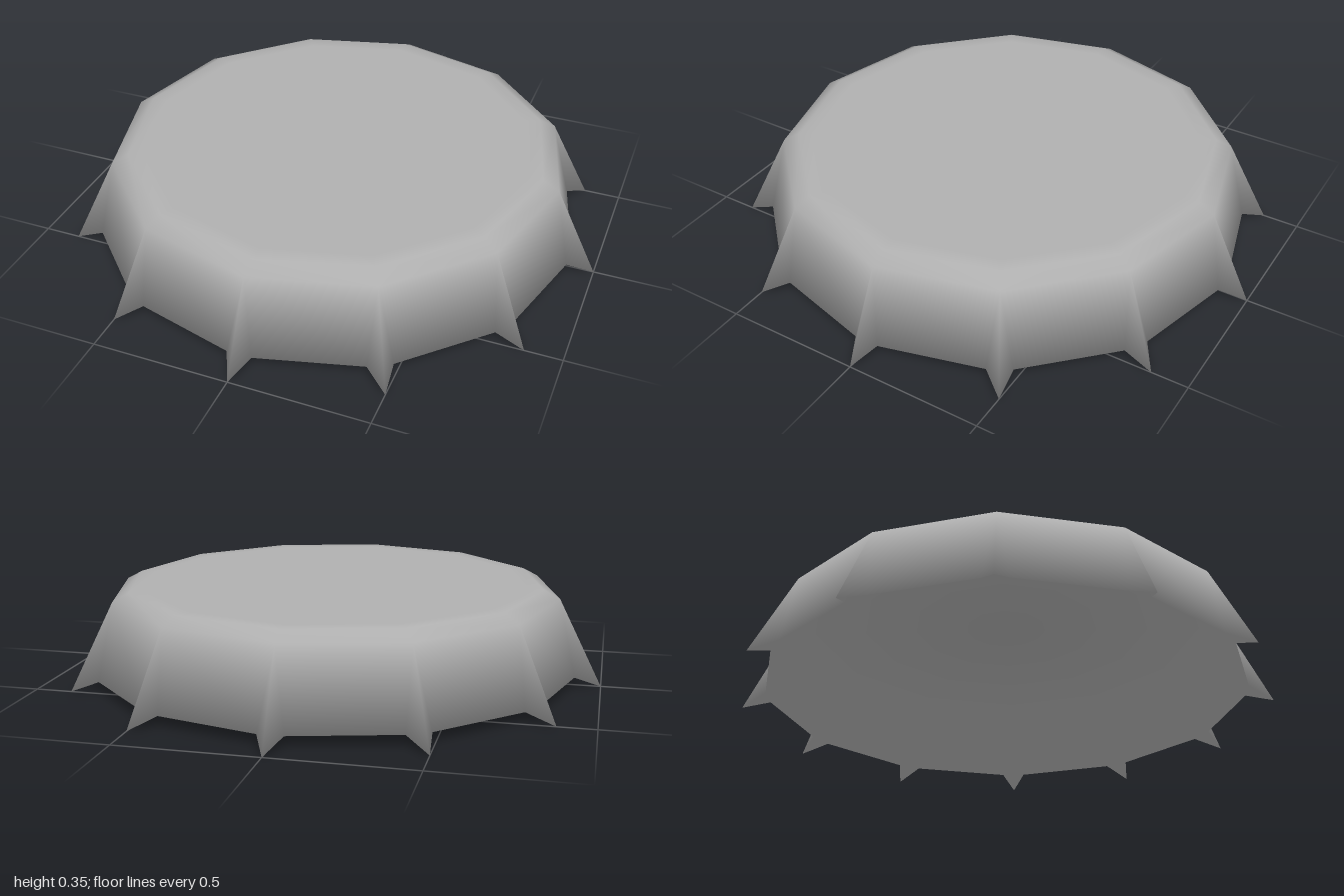
import * as THREE from 'three';

const SIDES = 12;
const STEP = (Math.PI * 2) / SIDES;
const HEM_OFFSET = 0.05; // angle from a spike tip to the hem corners beside it

const material = new THREE.MeshStandardMaterial({ color: 0xb0b0b0 });

// Profile points: radius, height, and the outward and upward parts of the smooth normal
const TOP = [[0, 0.352, 0, 1], [0.72, 0.352, 0, 1], [0.78, 0.352, 0.28, 0.96], [0.84, 0.32, 0.8, 0.6]];
const CEILING = [[0, 0.305, 0, -1], [0.82, 0.305, -0.6, -0.8]];
const HEM = [0.906, 0.04, 0.6, -0.8];
const TIP = [1, 0, 0.6, -0.8];

// Vertex at an angle measured from the front (+z) towards +x
function vertex(angle, [radius, y, out, up]) {
  const s = Math.sin(angle);
  const c = Math.cos(angle);
  return { position: [s * radius, y, c * radius], normal: [s * out, up, c * out] };
}

// One face of the cap: a disc profile, flared panels and folded spikes
function createShell(name, profile, inward) {
  const positions = [];
  const normals = [];
  const tri = (a, b, c) => {
    for (const v of inward ? [a, c, b] : [a, b, c]) {
      positions.push(...v.position);
      normals.push(...v.normal);
    }
  };
  const quad = (topLeft, bottomLeft, bottomRight, topRight) => {
    tri(topLeft, bottomLeft, bottomRight);
    tri(topLeft, bottomRight, topRight);
  };
  const rim = profile[profile.length - 1];

  for (let i = 0; i < SIDES; i++) {
    const a = i * STEP;
    const b = a + STEP;

    // Disc wedge, then any border and bevel
    tri(vertex(a, profile[0]), vertex(a, profile[1]), vertex(b, profile[1]));
    for (let r = 1; r < profile.length - 1; r++) {
      quad(vertex(a, profile[r]), vertex(a, profile[r + 1]),
        vertex(b, profile[r + 1]), vertex(b, profile[r]));
    }

    // Flared skirt panel
    const corner = vertex(a, rim);
    const hem = vertex(a + HEM_OFFSET, HEM);
    quad(corner, hem, vertex(b - HEM_OFFSET, HEM), vertex(b, rim));

    // Folded spike at the corner
    const tip = vertex(a, TIP);
    tri(corner, vertex(a - HEM_OFFSET, HEM), tip);
    tri(corner, tip, hem);
  }

  const geometry = new THREE.BufferGeometry();
  geometry.setAttribute('position', new THREE.Float32BufferAttribute(positions, 3));
  geometry.setAttribute('normal', new THREE.Float32BufferAttribute(normals, 3));
  geometry.normalizeNormals();
  const mesh = new THREE.Mesh(geometry, material);
  mesh.name = name;
  return mesh;
}

export function createModel() {
  const group = new THREE.Group();
  group.name = 'bottleCap';
  group.add(createShell('outerShell', TOP, false), createShell('innerShell', CEILING, true));
  return group;
}
